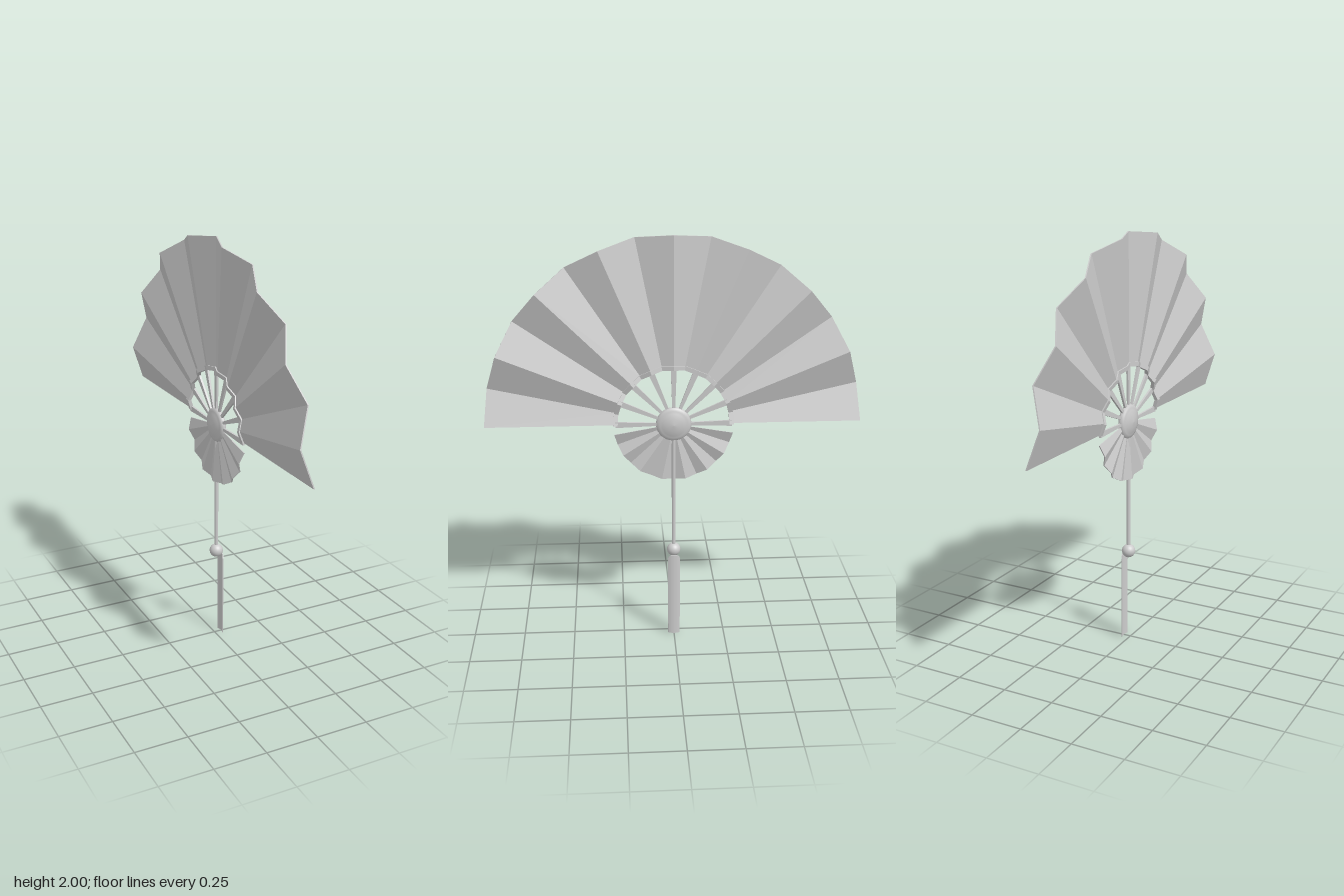
import * as THREE from 'three';

const CY = 1.113;            // height of the fan pivot
const R = 0.887;             // outer fan radius
const smooth = new THREE.MeshStandardMaterial({ color: 0xcccccc });
const faceted = new THREE.MeshStandardMaterial({ color: 0xcccccc, flatShading: true, side: THREE.DoubleSide });

// Solid strip swept through cross-sections, each a loop of four corners
function sweep(sections) {
  const pos = [], index = [];
  sections.forEach(s => s.forEach(p => pos.push(...p)));
  const n = sections.length;
  for (let i = 0; i < n - 1; i++) {
    for (let k = 0; k < 4; k++) {
      const a = i * 4 + k, b = i * 4 + (k + 1) % 4;
      index.push(a, b, a + 4, b, b + 4, a + 4);
    }
  }
  const e = (n - 1) * 4;
  index.push(0, 2, 1, 0, 3, 2, e, e + 1, e + 2, e, e + 2, e + 3);
  const g = new THREE.BufferGeometry();
  g.setAttribute('position', new THREE.Float32BufferAttribute(pos, 3));
  g.setIndex(index);
  const flat = g.toNonIndexed();
  flat.computeVertexNormals();
  return flat;
}

// Pleated annular sector: folds deepen with the radius
function pleats(r0, r1, a0, a1, segments, thick, lift = 0) {
  const sections = [];
  for (let i = 0; i <= segments; i++) {
    const a = THREE.MathUtils.degToRad(a0 + (a1 - a0) * i / segments);
    const corner = (r, dx) => {
      const fold = i % 2 ? -0.06 * r / R : 0;
      return [0.014 + lift + fold + dx, CY + r * Math.sin(a), r * Math.cos(a)];
    };
    sections.push([corner(r0, 0), corner(r1, 0), corner(r1, -thick), corner(r0, -thick)]);
  }
  return sweep(sections);
}

export function createModel() {
  const fan = new THREE.Group();
  fan.name = 'foldingFan';
  const add = (name, geometry, material, x = 0, y = 0, z = 0) => {
    const m = new THREE.Mesh(geometry, material);
    m.name = name;
    m.position.set(x, y, z);
    fan.add(m);
    return m;
  };

  // Pleated leaf, the rim at its inner edge, and the small lower leaf
  add('mainLeaf', pleats(0.272, R, 0, 180, 16, 0.006), faceted);
  add('innerRim', pleats(0.264, 0.285, -1, 181, 16, 0.018, 0.006), faceted);
  add('lowerLeaf', pleats(0.03, 0.285, 190, 350, 14, 0.005), faceted);

  // Ribs widening from the hub to the rim
  for (let i = 0; i <= 8; i++) {
    const a = i * Math.PI / 8;
    const section = (r, w) => [[1, 1], [1, -1], [-1, -1], [-1, 1]].map(([u, v]) => [
      0.01 + u * 0.005,
      CY + r * Math.sin(a) + v * w * Math.cos(a),
      r * Math.cos(a) - v * w * Math.sin(a)]);
    add('rib', sweep([section(0.05, 0.006), section(0.275, 0.014)]), faceted);
  }

  // Domed hub with a rounded rim
  const profile = [[0, -0.03], [0.03, -0.027], [0.055, -0.019], [0.066, -0.014], [0.078, -0.012],
    [0.084, 0], [0.078, 0.012], [0.066, 0.014], [0.055, 0.019], [0.03, 0.027], [0, 0.03]];
  const hub = add('hub', new THREE.LatheGeometry(profile.map(p => new THREE.Vector2(...p)), 32), smooth, 0.01, CY, 0);
  hub.rotation.z = -Math.PI / 2;

  // Cord and bead
  add('cord', new THREE.CylinderGeometry(0.0095, 0.0095, 0.6, 12), smooth, 0.01, 0.76, 0);
  add('bead', new THREE.SphereGeometry(0.033, 24, 16), smooth, 0.01, 0.457, 0);

  // Thin, slightly curved tassel with clipped upper corners
  const tassel = [];
  for (let i = 0; i <= 8; i++) {
    const t = i / 4 - 1, x = 0.042 - 0.007 * t * t, z = 0.029 * t;
    const top = 0.437 - 0.018 * t ** 4;
    tassel.push([[x, top, z], [x, 0, z], [x - 0.004, 0, z], [x - 0.004, top, z]]);
  }
  add('tassel', sweep(tassel), faceted);

  return fan;
}
